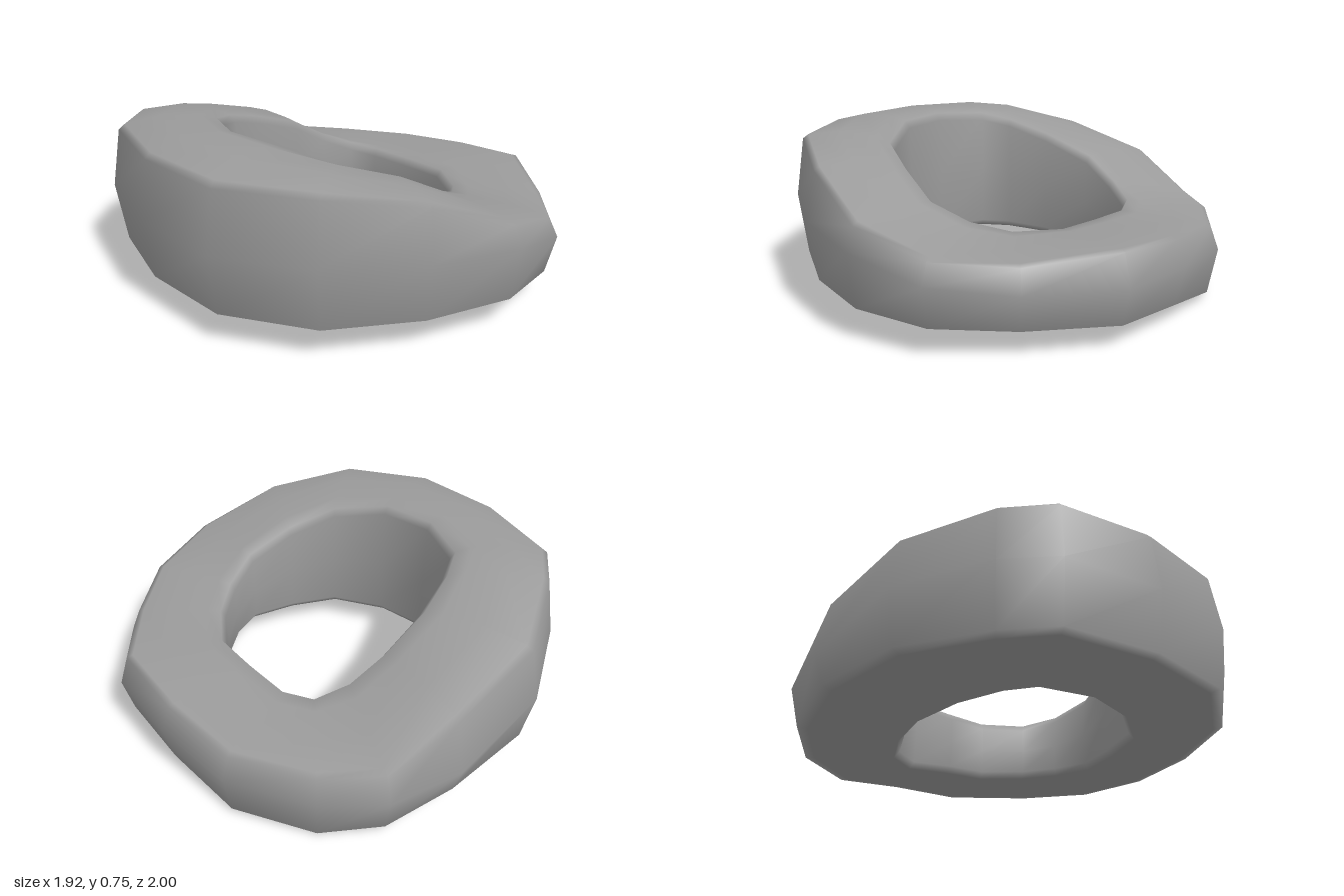
import * as THREE from 'three';

// Stations around the ring, each: outer x, z, inner x, z, outer top, inner top, outer bottom, inner bottom, height of widest point
const STATIONS = [
  [0.10, -1.00, 0.10, -0.47, 0.50, 0.535, 0.12, 0.06, 0.25],
  [0.42, -0.94, 0.26, -0.45, 0.345, 0.44, 0.05, 0.03, 0.22],
  [0.65, -0.77, 0.39, -0.39, 0.33, 0.38, 0.01, 0.005, 0.21],
  [0.88, -0.45, 0.45, -0.27, 0.335, 0.365, 0.025, 0.00, 0.23],
  [0.95, -0.08, 0.47, -0.05, 0.37, 0.37, 0.08, 0.035, 0.25],
  [0.96, 0.30, 0.48, 0.16, 0.40, 0.375, 0.10, 0.055, 0.26],
  [0.73, 0.65, 0.38, 0.34, 0.365, 0.38, 0.11, 0.07, 0.26],
  [0.48, 0.91, 0.26, 0.45, 0.39, 0.42, 0.125, 0.08, 0.30],
  [0.14, 1.00, 0.11, 0.52, 0.48, 0.49, 0.14, 0.085, 0.38],
  [-0.26, 0.91, -0.09, 0.48, 0.625, 0.59, 0.14, 0.09, 0.40],
  [-0.65, 0.71, -0.30, 0.40, 0.69, 0.665, 0.145, 0.09, 0.42],
  [-0.91, 0.36, -0.45, 0.19, 0.69, 0.725, 0.15, 0.09, 0.42],
  [-0.96, -0.09, -0.51, -0.05, 0.69, 0.73, 0.15, 0.09, 0.42],
  [-0.88, -0.53, -0.44, -0.28, 0.69, 0.715, 0.15, 0.09, 0.42],
  [-0.70, -0.71, -0.32, -0.36, 0.69, 0.685, 0.145, 0.09, 0.42],
  [-0.36, -0.95, -0.13, -0.43, 0.61, 0.62, 0.13, 0.08, 0.36],
];

// Cross-section loop as [t, y]; t runs from the outer wall (0) to the inner wall (1)
function section([, , , , oT, iT, oB, iB, mid]) {
  const top = (t) => THREE.MathUtils.lerp(oT, iT, t) + 0.43 * (oT - 0.33) * t * (1 - t);
  return [
    [0, mid],
    [0.085, oT - 0.008],
    [0.14, top(0.1)],
    [0.45, top(0.45)],
    [0.8, top(0.8)],
    [0.94, iT],
    [0.985, iT - 0.035],
    [1, (iT + iB) / 2],
    [0.99, iB + 0.05],
    [0.94, iB + 0.02],
    [0.55, iB],
    [0.17, THREE.MathUtils.lerp(oB, iB, 0.2)],
    [0.08, oB],
  ];
}

// Joins the closed loops into a smooth-shaded ring
function ringGeometry() {
  const positions = [], indices = [];
  const loops = STATIONS.map(section);
  const n = STATIONS.length, m = loops[0].length;
  loops.forEach((loop, i) => {
    const [ox, oz, ix, iz] = STATIONS[i];
    for (const [t, y] of loop) {
      positions.push(THREE.MathUtils.lerp(ox, ix, t), y, THREE.MathUtils.lerp(oz, iz, t));
    }
  });
  for (let i = 0; i < n; i++) {
    for (let j = 0; j < m; j++) {
      const a = i * m + j, b = i * m + (j + 1) % m;
      const c = ((i + 1) % n) * m + j, d = ((i + 1) % n) * m + (j + 1) % m;
      indices.push(a, b, c, b, d, c);
    }
  }
  const geometry = new THREE.BufferGeometry();
  geometry.setAttribute('position', new THREE.Float32BufferAttribute(positions, 3));
  geometry.setIndex(indices);
  geometry.computeVertexNormals();
  return geometry;
}

export function createModel() {
  const group = new THREE.Group();
  group.name = 'unevenRing';
  const ring = new THREE.Mesh(ringGeometry(), new THREE.MeshStandardMaterial({ color: 0x9b9b9b }));
  ring.name = 'ringBody';
  group.add(ring);
  return group;
}
